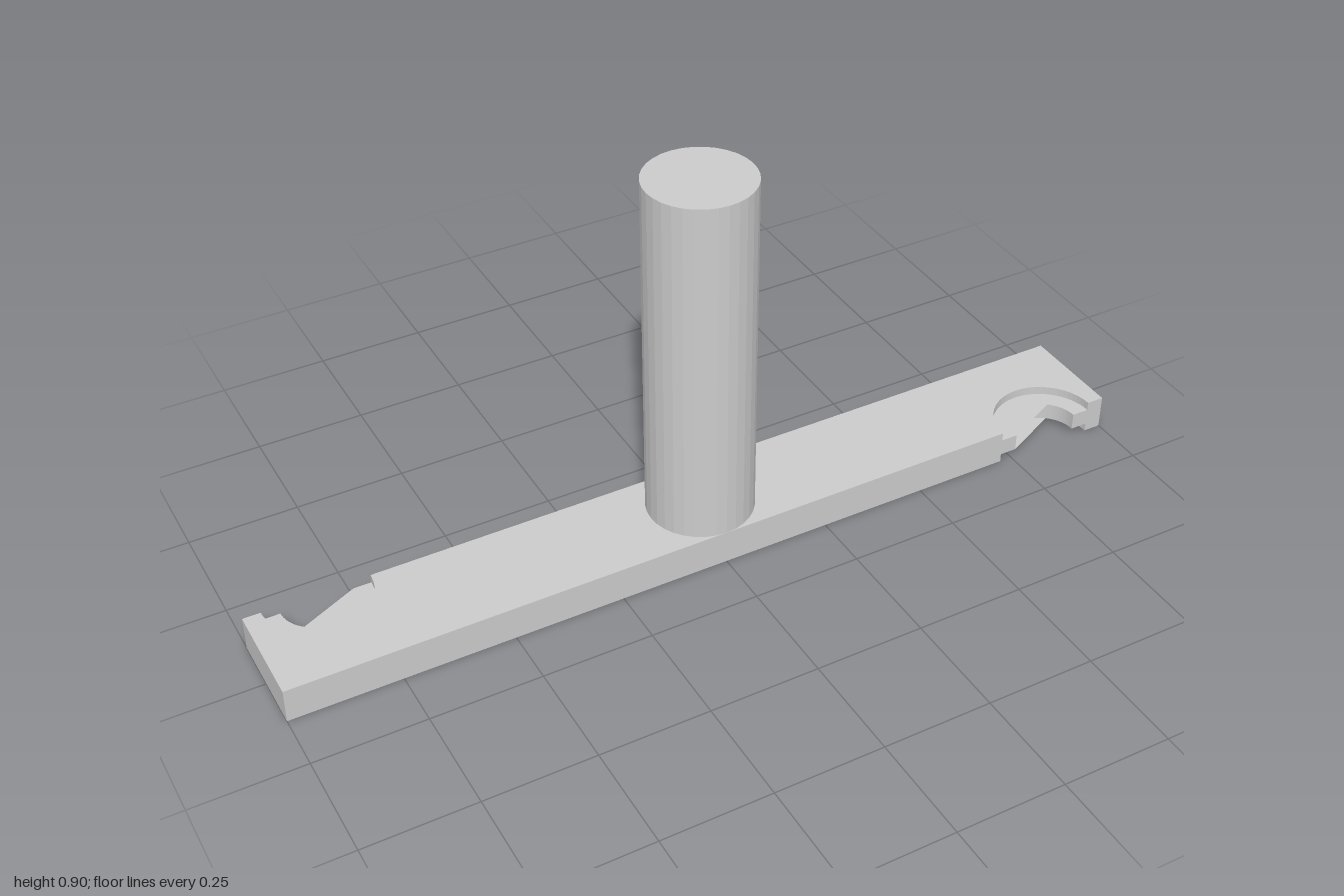
import * as THREE from 'three';

const HALF_WIDTH = 0.12;
const NOTCH_X = 0.84;

// Bar outline with a half-round notch on opposite edges (shape y becomes z)
function barOutline(r) {
  const s = new THREE.Shape();
  s.moveTo(-1, -HALF_WIDTH);
  s.lineTo(-NOTCH_X - r, -HALF_WIDTH);
  s.absarc(-NOTCH_X, -HALF_WIDTH, r, Math.PI, 0, true);
  s.lineTo(1, -HALF_WIDTH);
  s.lineTo(1, HALF_WIDTH);
  s.lineTo(NOTCH_X + r, HALF_WIDTH);
  s.absarc(NOTCH_X, HALF_WIDTH, r, 0, -Math.PI, true);
  s.lineTo(-1, HALF_WIDTH);
  s.closePath();
  return s;
}

export function createModel() {
  const group = new THREE.Group();
  const grey = new THREE.MeshStandardMaterial({ color: 0xcccccc, flatShading: true });
  const thin = new THREE.MeshStandardMaterial({ color: 0xcccccc, side: THREE.DoubleSide });

  const add = (name, geometry, material = grey, parent = group) => {
    const mesh = new THREE.Mesh(geometry, material);
    mesh.name = name;
    parent.add(mesh);
    return mesh;
  };

  // Crossbar: wide shallow recesses above and below a narrower notch
  const layers = [
    ['barBottom', 0, 0.02, 0.12],
    ['barCore', 0.02, 0.06, 0.08],
    ['barTop', 0.06, 0.08, 0.12],
  ];
  for (const [name, y0, y1, r] of layers) {
    const geo = new THREE.ExtrudeGeometry(barOutline(r), {
      depth: y1 - y0, bevelEnabled: false, curveSegments: 16,
    });
    geo.rotateX(Math.PI / 2).translate(0, y1, 0);
    add(name, geo);
  }

  // Thin webs that cover the inner side of each notch up to a slanted edge
  const web = new THREE.Shape();
  web.absarc(NOTCH_X, HALF_WIDTH, 0.08, -0.28 * Math.PI, -Math.PI, true);
  web.closePath();
  for (const [side, turn] of [['left', 0], ['right', Math.PI]]) {
    const notch = new THREE.Group();
    notch.name = side + 'NotchWebs';
    notch.rotation.y = turn;
    group.add(notch);
    for (const y of [0.02, 0.06]) {
      const geo = new THREE.ShapeGeometry(web, 16).rotateX(Math.PI / 2).translate(0, y, 0);
      add('notchWeb', geo, thin, notch);
    }
  }

  // Upright post
  add('post', new THREE.CylinderGeometry(0.12, 0.12, 0.82, 32).translate(0, 0.49, 0));

  return group;
}
